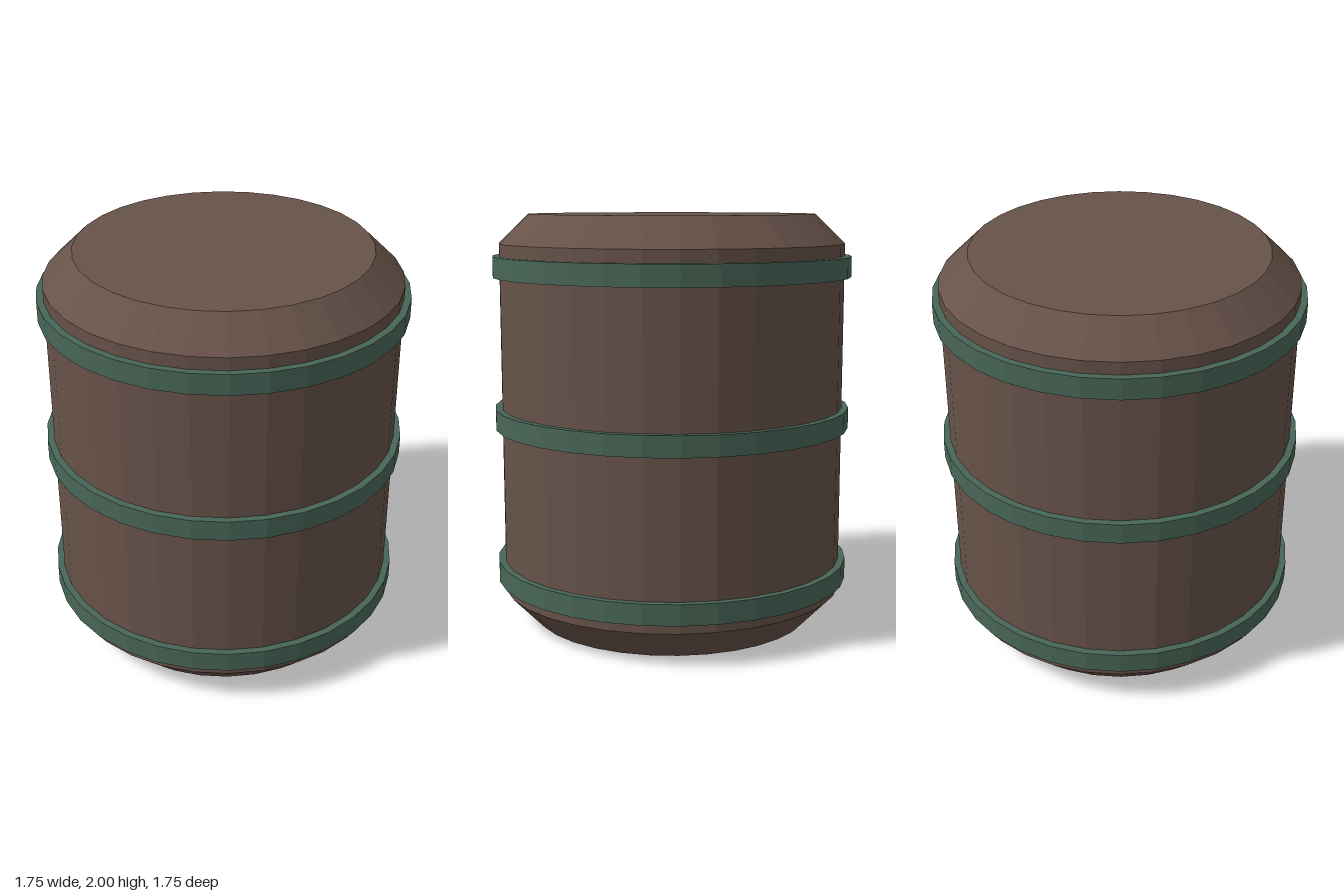
import * as THREE from 'three';

const SEGMENTS = 32;
const BODY_RADIUS = 0.84;
const HOOP_RADIUS = 0.873;
const HOOP_HEIGHT = 0.1;

const wood = new THREE.MeshStandardMaterial({ color: 0x675249, flatShading: true });
const metal = new THREE.MeshStandardMaterial({ color: 0x486657, flatShading: true });

// Spin a [radius, height] profile, listed from the bottom up
function turned(name, profile, material) {
  const points = profile.map(([r, y]) => new THREE.Vector2(r, y));
  const mesh = new THREE.Mesh(new THREE.LatheGeometry(points, SEGMENTS), material);
  mesh.name = name;
  return mesh;
}

export function createModel() {
  const barrel = new THREE.Group();
  barrel.name = 'barrel';

  // Straight body with bevelled rims and closed ends
  barrel.add(turned('body', [
    [0, 0], [0.688, 0], [BODY_RADIUS, 0.157],
    [BODY_RADIUS, 1.86], [0.697, 2], [0, 2],
  ], wood));

  // Raised hoops around the body
  const hoops = { lowerHoop: 0.255, middleHoop: 1.014, upperHoop: 1.75 };
  for (const [name, y] of Object.entries(hoops)) {
    const h = HOOP_HEIGHT / 2;
    const hoop = turned(name, [
      [BODY_RADIUS, -h], [HOOP_RADIUS, -h], [HOOP_RADIUS, h], [BODY_RADIUS, h],
    ], metal);
    hoop.position.y = y;
    barrel.add(hoop);
  }

  return barrel;
}
